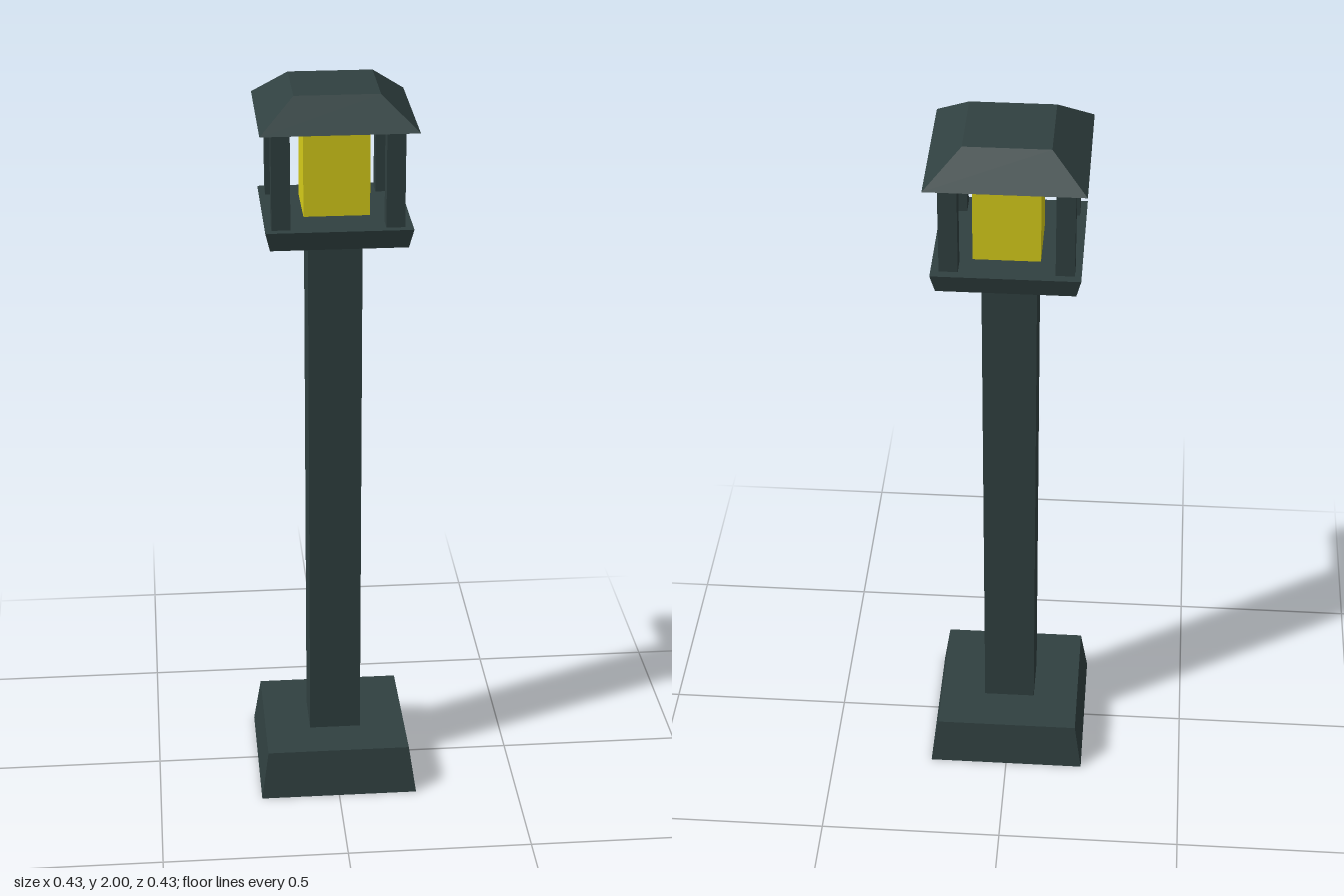
import * as THREE from 'three';

export function createModel() {
  const model = new THREE.Group();
  const metal = new THREE.MeshStandardMaterial({ color: 0x304040, flatShading: true });
  const glow = new THREE.MeshStandardMaterial({ color: 0xd6cc1a, flatShading: true });

  // Square block between two heights, tapering from a bottom to a top half-width
  function block(name, bottom, top, y0, y1, material = metal, x = 0, z = 0) {
    const geometry = new THREE.BoxGeometry(2, y1 - y0, 2);
    const p = geometry.attributes.position;
    for (let i = 0; i < p.count; i++) {
      const half = p.getY(i) > 0 ? top : bottom;
      p.setX(i, p.getX(i) * half);
      p.setZ(i, p.getZ(i) * half);
    }
    geometry.computeVertexNormals();
    const mesh = new THREE.Mesh(geometry, material);
    mesh.name = name;
    mesh.position.set(x, (y0 + y1) / 2, z);
    model.add(mesh);
  }

  // Foot and column
  block('base', 0.217, 0.197, 0, 0.135);
  block('column', 0.071, 0.071, 0.135, 1.62);

  // Lantern: tray, lamp, corner posts and roof
  block('tray', 0.177, 0.189, 1.617, 1.668, metal, 0.002, 0.002);
  block('lamp', 0.086, 0.086, 1.668, 1.923, glow, 0.004, -0.016);
  for (const sx of [-1, 1]) {
    for (const sz of [-1, 1]) {
      block('cornerPost', 0.024, 0.024, 1.668, 1.923, metal, sx * 0.146, sz * 0.142 + 0.003);
    }
  }
  block('roof', 0.201, 0.11, 1.923, 2, metal, 0.002, -0.004);

  return model;
}
